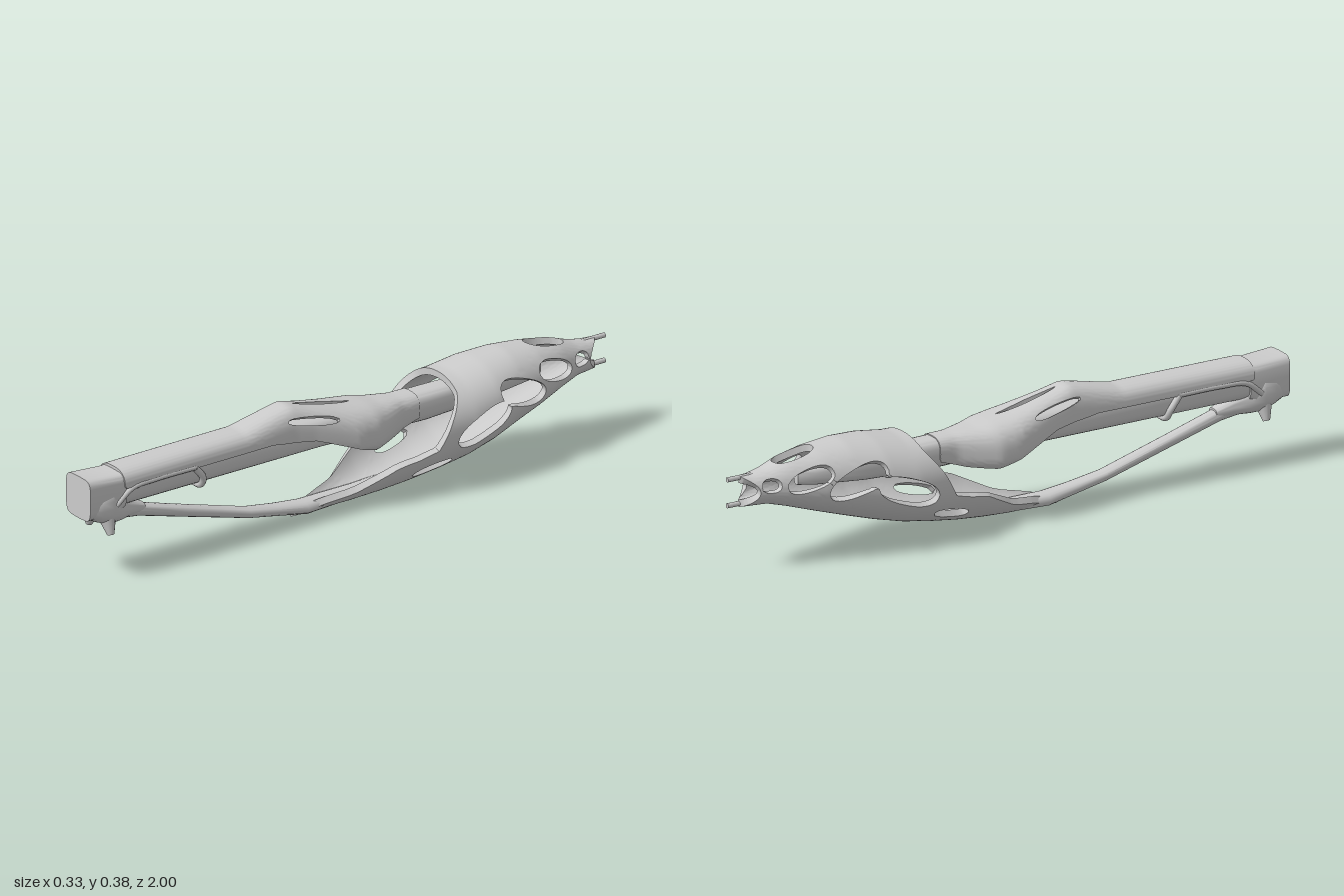
import * as THREE from 'three';
import { toCreasedNormals } from 'three/addons/utils/BufferGeometryUtils.js';

const grey = new THREE.MeshStandardMaterial({ color: 0xcccccc });

// Piecewise linear lookup: rows are [key, a, b, ...] with rising keys
function lookup(rows, k) {
  if (k <= rows[0][0]) return rows[0].slice(1);
  for (let i = 1; i < rows.length; i++) {
    if (k > rows[i][0]) continue;
    const t = (k - rows[i - 1][0]) / (rows[i][0] - rows[i - 1][0]);
    return rows[i].slice(1).map((v, j) => THREE.MathUtils.lerp(rows[i - 1][j + 1], v, t));
  }
  return rows[rows.length - 1].slice(1);
}

const spow = (v, p) => Math.sign(v) * Math.abs(v) ** p;

// Point on a rounded section; row = [halfWidth, top, widestHeight, bottom]
function sectionPoint([w, top, mid, bottom], angle, z, power, inset = 0) {
  const s = spow(Math.sin(angle), 2 / power);
  const h = s > 0 ? top - mid : mid - bottom;
  return new THREE.Vector3((w - inset) * spow(Math.cos(angle), 2 / power), mid + (h - inset) * s, z);
}

function soup(points, crease) {
  const g = new THREE.BufferGeometry().setFromPoints(points);
  g.computeVertexNormals();
  return toCreasedNormals(g, crease);
}

// Solid body through sections along z, capped at both ends
function loft(rows, power = 2, n = 20, crease = 0.6) {
  const out = [];
  const rings = rows.map(([z, ...r]) =>
    Array.from({ length: n }, (_, i) => sectionPoint(r, (i / n) * Math.PI * 2, z, power)));
  const last = rings.length - 1;
  const centre = ring => ring.reduce((a, p) => a.add(p), new THREE.Vector3()).divideScalar(n);
  const c0 = centre(rings[0]), c1 = centre(rings[last]);
  for (let i = 0; i < n; i++) {
    const j = (i + 1) % n;
    for (let k = 0; k < last; k++) {
      const a = rings[k][i], b = rings[k][j], c = rings[k + 1][j], d = rings[k + 1][i];
      out.push(a, b, c, a, c, d);
    }
    out.push(c0, rings[0][j], rings[0][i], c1, rings[last][i], rings[last][j]);
  }
  return soup(out, crease);
}

// Hollow wall through sections, trimmed smoothly to where keep(point) >= 0
function trimmedShell(rows, keep, thickness, power, nu, nv) {
  const z0 = rows[0][0], z1 = rows[rows.length - 1][0], out = [];
  const at = (p, inset) => {
    const z = z0 + (z1 - z0) * p[1];
    return sectionPoint(lookup(rows, z), p[0] * Math.PI * 2, z, power, inset);
  };
  const cut = tri => {
    const f = tri.map(p => keep(at(p, 0)));
    const poly = [];
    let exit, entry;
    for (let i = 0; i < 3; i++) {
      const j = (i + 1) % 3;
      if (f[i] >= 0) poly.push(tri[i]);
      if ((f[i] >= 0) === (f[j] >= 0)) continue;
      const t = f[i] / (f[i] - f[j]);
      const m = [0, 1].map(q => THREE.MathUtils.lerp(tri[i][q], tri[j][q], t));
      poly.push(m);
      if (f[i] >= 0) exit = m; else entry = m;
    }
    const o = poly.map(p => at(p, 0)), q = poly.map(p => at(p, thickness));
    for (let i = 2; i < poly.length; i++) out.push(o[0], o[i - 1], o[i], q[0], q[i], q[i - 1]);
    if (exit) {
      const a = at(entry, 0), b = at(exit, 0), c = at(exit, thickness), d = at(entry, thickness);
      out.push(a, b, c, a, c, d);
    }
  };
  for (let i = 0; i < nu; i++) for (let k = 0; k < nv; k++) {
    const a = [i / nu, k / nv], b = [(i + 1) / nu, k / nv];
    const c = [(i + 1) / nu, (k + 1) / nv], d = [i / nu, (k + 1) / nv];
    cut([a, b, c]);
    cut([a, c, d]);
  }
  return soup(out, 0.75);
}

// Negative inside a tilted oval, positive outside
function oval(p, q, [cp, cq, rp, rq, tilt = 0]) {
  const c = Math.cos(tilt), s = Math.sin(tilt), dp = p - cp, dq = q - cq;
  const e = Math.abs((dp * c + dq * s) / rp) ** 2.4 + Math.abs((dq * c - dp * s) / rq) ** 2.4;
  return (e ** (1 / 2.4) - 1) * Math.min(rp, rq);
}

function tube(points, radius) {
  const curve = new THREE.CatmullRomCurve3(points.map(p => new THREE.Vector3(...p)));
  return new THREE.TubeGeometry(curve, 24, radius, 10);
}

export function createModel() {
  const model = new THREE.Group();
  const add = (name, geometry) => {
    const mesh = new THREE.Mesh(geometry, grey);
    mesh.name = name;
    model.add(mesh);
    return mesh;
  };

  // Rear lattice shell: open front, solid belly, oval windows in the flanks
  const shellRows = [
    [-0.98, 0.03, 0.305, 0.258, 0.207], [-0.92, 0.05, 0.305, 0.255, 0.205],
    [-0.87, 0.06, 0.315, 0.255, 0.203], [-0.8, 0.08, 0.34, 0.25, 0.183],
    [-0.7, 0.112, 0.355, 0.245, 0.15], [-0.6, 0.133, 0.363, 0.235, 0.118],
    [-0.5, 0.158, 0.357, 0.22, 0.088], [-0.4, 0.166, 0.342, 0.205, 0.062],
    [-0.3, 0.16, 0.34, 0.2, 0.043], [-0.2, 0.148, 0.34, 0.2, 0.027],
    [-0.1, 0.128, 0.34, 0.19, 0.016], [0, 0.1, 0.34, 0.18, 0.008],
    [0.1, 0.07, 0.34, 0.18, 0.004], [0.2, 0.045, 0.34, 0.18, 0.002]];
  const frontRim = [[0, 0.2], [0.03, 0.1], [0.05, 0], [0.12, -0.13], [0.15, -0.26],
    [0.24, -0.31], [0.31, -0.36], [0.4, -0.38]];
  const sideWindows = [
    [-0.26, 0.088, 0.07, 0.017, -0.2], [-0.435, 0.2, 0.11, 0.043, -0.35],
    [-0.6, 0.255, 0.1, 0.042, 0.35], [-0.75, 0.278, 0.075, 0.033, 0.3],
    [-0.872, 0.272, 0.03, 0.022, 0]];
  const keepShell = p => Math.min(
    lookup(frontRim, p.y)[0] - p.z,
    p.z + 0.96 - 0.05 * (1 - ((p.y - 0.256) / 0.05) ** 2),
    p.y > 0.28 ? oval(p.z, p.x, [-0.765, 0, 0.07, 0.038]) : 1,
    ...sideWindows.map(w => oval(p.z, p.y, w)));
  add('rearShell', trimmedShell(shellRows, keepShell, 0.022, 2.1, 72, 100));

  // Tail prongs
  for (const y of [0.3, 0.216]) {
    const prong = add('tailProng', new THREE.CylinderGeometry(0.008, 0.008, 0.09, 10));
    prong.rotation.x = Math.PI / 2;
    prong.position.set(0, y, -0.955);
  }

  // Inner beam running from the nose into the shell
  add('innerBeam', loft([
    [-0.75, 0.012, 0.285, 0.262, 0.238], [-0.7, 0.035, 0.293, 0.262, 0.232],
    [-0.52, 0.045, 0.3, 0.255, 0.215], [-0.3, 0.05, 0.302, 0.255, 0.205],
    [-0.1, 0.052, 0.305, 0.255, 0.212], [0.1, 0.055, 0.315, 0.265, 0.22],
    [0.9, 0.055, 0.33, 0.275, 0.22]], 3, 24));

  // Top cover with a raised, flared saddle
  const coverRows = [
    [-0.3, 0.052, 0.305, 0.265, 0.2], [-0.2, 0.056, 0.307, 0.25, 0.19],
    [-0.12, 0.09, 0.315, 0.23, 0.18], [-0.07, 0.11, 0.325, 0.225, 0.175],
    [0, 0.112, 0.335, 0.235, 0.18], [0.05, 0.1, 0.345, 0.25, 0.19],
    [0.15, 0.077, 0.368, 0.28, 0.2], [0.22, 0.066, 0.387, 0.29, 0.2],
    [0.28, 0.065, 0.375, 0.29, 0.2], [0.4, 0.066, 0.348, 0.29, 0.2],
    [0.89, 0.067, 0.346, 0.29, 0.2]];
  const lowerEdge = [[-0.25, 0.23], [-0.17, 0.203], [-0.07, 0.186], [0, 0.212],
    [0.15, 0.27], [0.3, 0.29], [0.88, 0.29]];
  const keepCover = p => Math.min(
    p.y - lookup(lowerEdge, p.z)[0],
    p.z + 0.26,
    0.87 - p.z,
    oval(p.z, p.y, [0.155, 0.334, 0.09, 0.013, 0.16]),
    p.y > 0.32 ? oval(p.z, p.x, [0.08, 0, 0.11, 0.009]) : 1);
  add('topCover', trimmedShell(coverRows, keepCover, 0.015, 2.8, 64, 90));

  // Clasp under the beam and the rails along the cover edge
  add('beamClasp', tube([[-0.06, 0.29, 0.6], [-0.06, 0.25, 0.57], [-0.04, 0.219, 0.565],
    [0, 0.216, 0.565], [0.04, 0.219, 0.565], [0.06, 0.25, 0.57], [0.06, 0.29, 0.6]], 0.011));
  for (const s of [-1, 1]) {
    add('coverRail', tube([[s * 0.06, 0.24, 0.9], [s * 0.062, 0.285, 0.84],
      [s * 0.06, 0.292, 0.75], [s * 0.06, 0.292, 0.6]], 0.009));
  }

  // Nose block
  add('noseBlock', loft([
    [0.86, 0.06, 0.338, 0.28, 0.22], [0.88, 0.063, 0.335, 0.275, 0.208],
    [1, 0.063, 0.344, 0.28, 0.205]], 5, 24, 0.5));

  // Nose bracket, tapering back into the keel strut
  add('noseBracket', loft([
    [0.76, 0.022, 0.2, 0.185, 0.168], [0.82, 0.032, 0.225, 0.2, 0.17],
    [0.87, 0.057, 0.26, 0.215, 0.17], [0.91, 0.069, 0.3, 0.235, 0.17],
    [0.95, 0.067, 0.295, 0.235, 0.185], [0.98, 0.06, 0.27, 0.235, 0.2]], 2.8, 24));
  for (const s of [-1, 1]) {
    const claw = add('bracketClaw', new THREE.CylinderGeometry(0.032, 0.011, 0.07, 12));
    claw.position.set(s * 0.045, 0.18, 0.918);
    claw.rotation.z = s * 0.35;
  }

  // Keel strut from the bracket down to the belly of the shell
  add('keelStrut', loft([
    [-0.25, 0.02, 0.058, 0.045, 0.036], [-0.05, 0.032, 0.046, 0.026, 0.012],
    [0.15, 0.036, 0.046, 0.022, 0.004], [0.25, 0.03, 0.058, 0.04, 0.022],
    [0.36, 0.026, 0.076, 0.06, 0.042], [0.6, 0.024, 0.146, 0.128, 0.108],
    [0.78, 0.024, 0.2, 0.18, 0.158], [0.88, 0.03, 0.225, 0.2, 0.172]], 2.4, 16));

  return model;
}
